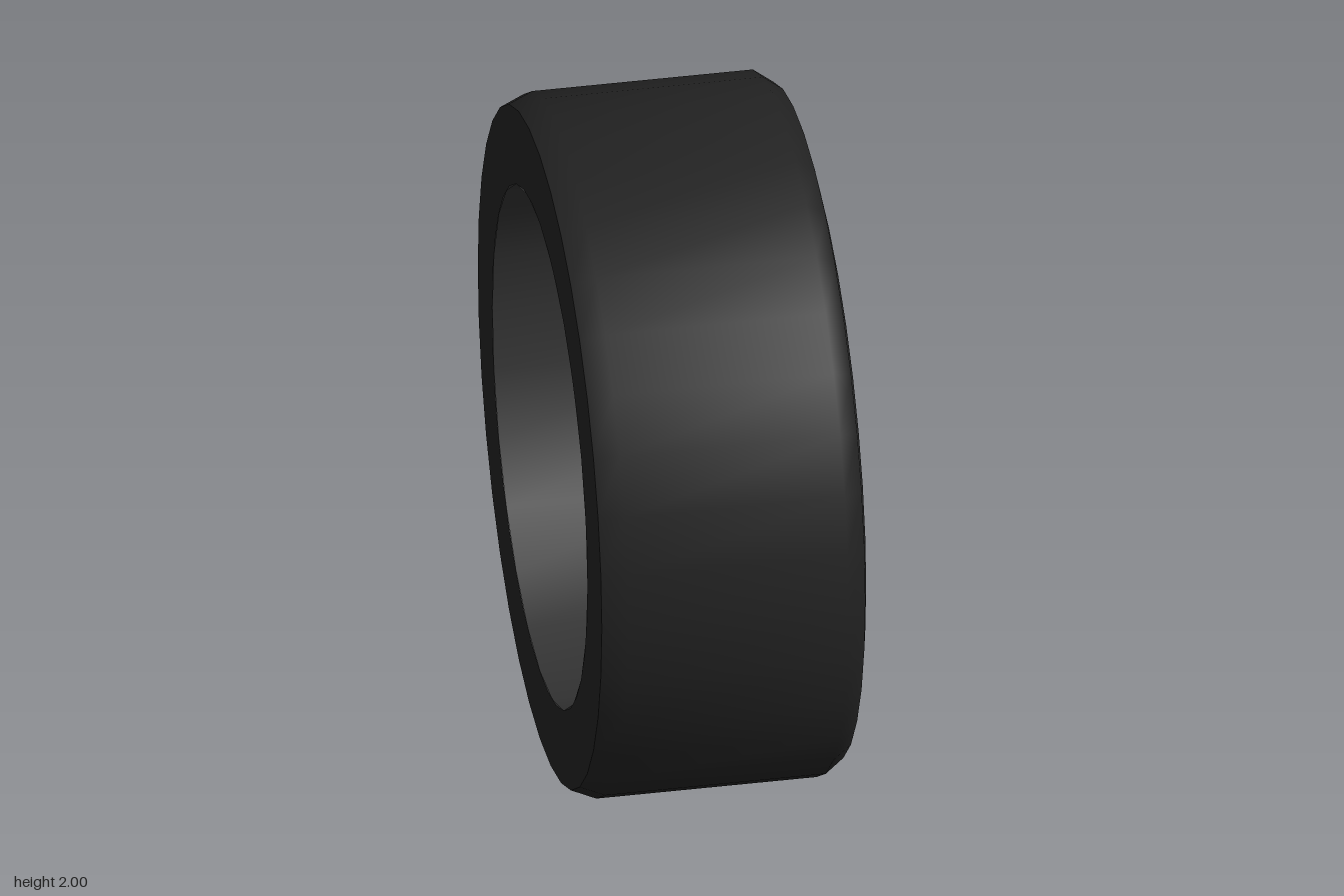
import * as THREE from 'three';
import { toCreasedNormals } from 'three/addons/utils/BufferGeometryUtils.js';

const mat = (color, side = THREE.FrontSide) => new THREE.MeshStandardMaterial({ color, side });
const rad = THREE.MathUtils.degToRad;

// Everything is modelled with the axle along +z (outer face), then turned so the axle runs along +x.
export function createModel() {
  const model = new THREE.Group();
  model.name = 'wheel';
  const wheel = new THREE.Group();
  wheel.name = 'wheelAssembly';
  wheel.rotation.y = Math.PI / 2;
  wheel.position.y = 1;
  model.add(wheel);

  const rubber = mat(0x222222, THREE.DoubleSide);
  const alloy = mat(0x333333, THREE.DoubleSide);
  const steel = mat(0x666666, THREE.DoubleSide);
  const dark = mat(0x2a2a2a);

  const add = (name, geometry, material, parent = wheel) => {
    const mesh = new THREE.Mesh(geometry, material);
    mesh.name = name;
    parent.add(mesh);
    return mesh;
  };
  // Turned part: profile points are [radius, depth along axle]
  const turned = (profile, segments, crease = 0.6, start = 0) => toCreasedNormals(
    new THREE.LatheGeometry(profile.map(([r, d]) => new THREE.Vector2(r, d)), segments, start).rotateX(Math.PI / 2), crease);
  const extrude = (shape, depth, bevel, z) => new THREE.ExtrudeGeometry(shape, {
    depth, curveSegments: 8, bevelEnabled: bevel > 0, bevelSize: bevel, bevelThickness: bevel, bevelSegments: 1,
  }).translate(0, 0, z);

  // Tyre
  add('tyre', turned([[0.745, -0.4], [0.97, -0.4], [1, -0.33], [1, 0.3], [0.96, 0.355], [0.88, 0.372], [0.76, 0.37]], 36, 0.9), rubber);

  // Rim lip, stepped well and inner barrel
  add('rim', turned([[0.765, 0.365], [0.76, 0.385], [0.742, 0.387], [0.732, 0.374], [0.685, 0.365], [0.668, 0.345],
    [0.655, 0.28], [0.6, 0.24], [0.6, 0.225], [0.735, 0.225]], 36), alloy);
  add('barrel', turned([[0.735, 0.225], [0.745, -0.4]], 24), alloy);

  // Spoke star: eight arms, each splitting into two branches that reach the rim
  const edge = [[0.252, 22.5], [0.262, 18], [0.295, 12.5], [0.35, 8.5], [0.42, 8.6], [0.5, 11.6], [0.58, 14], [0.625, 15], [0.662, 15.6],
    [0.662, 13.5], [0.625, 12.8], [0.58, 11.4], [0.5, 8], [0.43, 4], [0.39, 1.2]];
  const starPoints = [];
  const polar = (r, deg) => new THREE.Vector2(r * Math.sin(rad(deg)), r * Math.cos(rad(deg)));
  for (let i = 0; i < 8; i++) {
    edge.forEach(([r, a]) => starPoints.push(polar(r, i * 45 - a)));
    edge.slice(1).reverse().forEach(([r, a]) => starPoints.push(polar(r, i * 45 + a)));
  }
  const star = new THREE.Shape(starPoints);
  const boltSpots = [];
  for (let i = 0; i < 5; i++) {
    const a = rad(38 + 72 * i);
    boltSpots.push([0.185 * Math.cos(a), 0.185 * Math.sin(a)]);
    star.holes.push(new THREE.Path().absarc(...boltSpots[i], 0.055, 0, Math.PI * 2, true));
  }
  const starGeometry = extrude(star, 0.07, 0.006, -0.076);
  // Offset the face by radius: slightly dished hub, crowned arms, tips hooking back
  const crown = [[0, 0.37], [0.24, 0.376], [0.32, 0.393], [0.45, 0.399], [0.55, 0.388], [0.62, 0.362], [0.67, 0.33]];
  const faceDepth = (r) => {
    let i = 1;
    while (i < crown.length - 1 && r > crown[i][0]) i++;
    const [r0, d0] = crown[i - 1], [r1, d1] = crown[i];
    return THREE.MathUtils.lerp(d0, d1, Math.min(1, (r - r0) / (r1 - r0)));
  };
  const pos = starGeometry.attributes.position;
  for (let i = 0; i < pos.count; i++) {
    pos.setZ(i, pos.getZ(i) + faceDepth(Math.hypot(pos.getX(i), pos.getY(i))));
  }
  starGeometry.computeVertexNormals();
  add('spokes', toCreasedNormals(starGeometry, 0.5), alloy);

  // Centre cap and hub carrier
  add('centreCap', turned([[0.115, 0.36], [0.108, 0.378], [0.09, 0.383], [0, 0.386]], 24), alloy);
  add('hub', turned([[0.25, 0.14], [0.25, 0.31], [0, 0.31]], 24), alloy);

  // Wheel bolts in their recesses
  const bolts = new THREE.Group();
  bolts.name = 'wheelBolts';
  wheel.add(bolts);
  boltSpots.forEach(([x, y]) => {
    const bolt = add('wheelBolt', new THREE.CylinderGeometry(0.026, 0.03, 0.03, 6).rotateX(Math.PI / 2), alloy, bolts);
    bolt.position.set(x, y, 0.32);
  });

  // Brake disc, a shallow cup open towards the back
  add('brakeDisc', turned([[0.5, 0.06], [0.5, 0.14], [0, 0.14]], 20, 0.2, rad(9)), steel);

  // Brake caliper with a raised front panel
  const outline = (points) => new THREE.Shape(points.map(([x, y]) => new THREE.Vector2(x, y)));
  const caliper = new THREE.Group();
  caliper.name = 'brakeCaliper';
  wheel.add(caliper);
  add('caliperBody', extrude(outline([[0.345, 0.49], [0.345, 0.09], [0.4, 0.06], [0.4, -0.08], [0.345, -0.14], [0.375, -0.26],
    [0.345, -0.34], [0.35, -0.44], [0.4, -0.455], [0.48, -0.38], [0.53, -0.29], [0.53, -0.2], [0.575, -0.14], [0.56, -0.08],
    [0.59, -0.05], [0.59, 0.1], [0.56, 0.13], [0.57, 0.2], [0.53, 0.26], [0.53, 0.33], [0.47, 0.4], [0.41, 0.46]]), 0.14, 0.006, 0.1), dark, caliper);
  add('caliperPanel', extrude(outline([[0.37, 0.34], [0.37, 0.15], [0.42, 0.08], [0.42, -0.1], [0.38, -0.2], [0.37, -0.3],
    [0.42, -0.33], [0.47, -0.24], [0.5, -0.1], [0.5, 0.1], [0.46, 0.25], [0.41, 0.37]]), 0.015, 0.006, 0.246), dark, caliper);

  return model;
}
